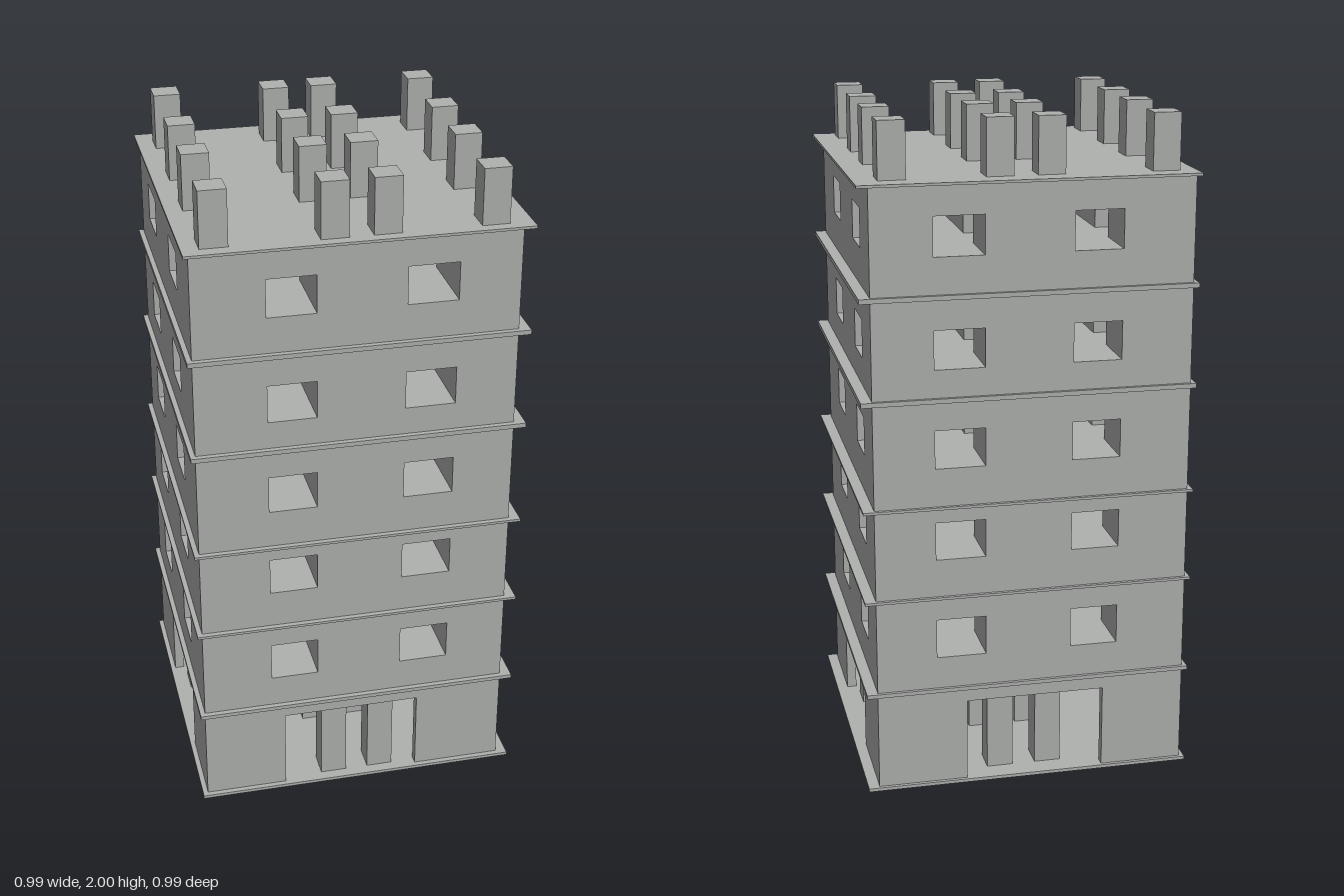
import * as THREE from 'three';

const concrete = new THREE.MeshStandardMaterial({ color: 0xb0b2b0 });
concrete.name = 'concrete';

// Outer faces of the walls
const X0 = -0.48, X1 = 0.46, Z0 = -0.485, Z1 = 0.475;
const WALL = 0.03;

// Centre height and thickness of every floor slab, bottom to roof
const SLABS = [[0.005, 0.01], [0.311, 0.012], [0.606, 0.008], [0.886, 0.008],
  [1.21, 0.014], [1.51, 0.014], [1.83, 0.008]];
// Sill and head heights of the windows on each upper storey
const WINDOWS = [[0.415, 0.535], [0.725, 0.84], [1.005, 1.12], [1.3, 1.415], [1.625, 1.74]];

// Box given by its extents
function box(name, x0, x1, y0, y1, z0, z1) {
  const geometry = new THREE.BoxGeometry(x1 - x0, y1 - y0, z1 - z0);
  geometry.translate((x0 + x1) / 2, (y0 + y1) / 2, (z0 + z1) / 2);
  const mesh = new THREE.Mesh(geometry, concrete);
  mesh.name = name;
  return mesh;
}

// Thin ground-floor wall with a doorway cut up from the floor
function doorWall(name, u0, u1, d0, d1) {
  const shape = new THREE.Shape();
  [[u0, 0], [d0, 0], [d0, 0.265], [d1, 0.265], [d1, 0], [u1, 0], [u1, 0.31], [u0, 0.31]]
    .forEach(([x, y], i) => (i ? shape.lineTo(x, y) : shape.moveTo(x, y)));
  const mesh = new THREE.Mesh(
    new THREE.ExtrudeGeometry(shape, { depth: WALL, bevelEnabled: false }), concrete);
  mesh.name = name;
  return mesh;
}

// Storey pierced by window openings running straight through both ways
function storey(index, y0, y1, sill, head) {
  const group = new THREE.Group();
  group.name = 'storey' + (index + 1);
  group.add(box('wallBelowWindows', X0, X1, y0, sill, Z0, Z1));
  group.add(box('wallAboveWindows', X0, X1, head, y1, Z0, Z1));
  const xs = [[X0, -0.27], [-0.127, 0.132], [0.28, X1]];
  const zs = [[Z0, -0.312], [-0.17, 0.097], [0.24, Z1]];
  for (const [xa, xb] of xs)
    for (const [za, zb] of zs)
      group.add(box('windowPier', xa, xb, sill, head, za, zb));
  return group;
}

// Four by four grid of columns; the left row is set slightly back
function columns(name, y0, y1) {
  const group = new THREE.Group();
  group.name = name;
  const r = 0.04;
  for (const x of [-0.405, -0.072, 0.077, 0.384])
    for (const z of [-0.389, -0.11, 0.135, 0.417]) {
      const cz = x < -0.3 ? z - 0.007 : z;
      group.add(box('column', x - r, x + r, y0, y1, cz - r, cz + r));
    }
  return group;
}

export function createModel() {
  const model = new THREE.Group();
  model.name = 'towerBlock';

  // Floor slabs and roof
  SLABS.forEach(([y, t], i) => {
    const name = i === SLABS.length - 1 ? 'roofSlab' : 'floorSlab';
    model.add(box(name, -0.495, 0.493, y - t / 2, y + t / 2, -0.495, 0.491));
  });

  // Hollow ground floor with a doorway on each side
  const ground = new THREE.Group();
  ground.name = 'groundFloor';
  for (const [name, z] of [['frontWall', Z1 - WALL], ['backWall', Z0]]) {
    const wall = doorWall(name, X0, X1, -0.23, 0.19);
    wall.position.z = z;
    ground.add(wall);
  }
  for (const [name, x] of [['leftWall', X1 - WALL], ['rightWall', X0]]) {
    const wall = doorWall(name, -Z1 + WALL, -Z0 - WALL, -0.22, 0.2);
    wall.rotation.y = Math.PI / 2;
    wall.position.x = x;
    ground.add(wall);
  }
  ground.add(columns('groundColumns', 0.005, 0.31));
  model.add(ground);

  // Upper storeys
  WINDOWS.forEach(([sill, head], i) =>
    model.add(storey(i, SLABS[i + 1][0], SLABS[i + 2][0], sill, head)));

  // Column stubs standing on the roof
  model.add(columns('roofColumns', 1.83, 2));
  return model;
}
